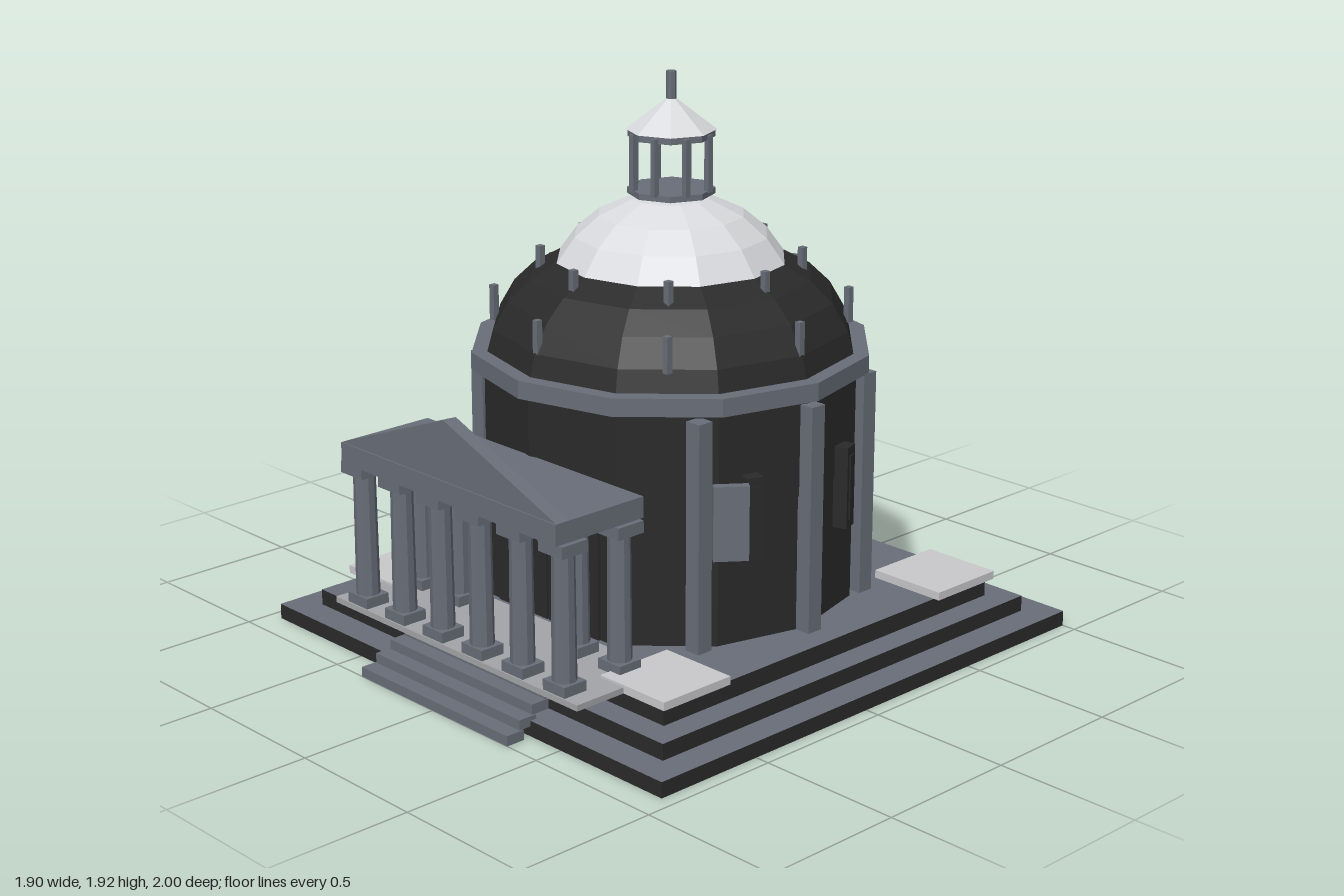
import * as THREE from 'three';

const mat = (name, color, extra = {}) =>
  Object.assign(new THREE.MeshStandardMaterial({ color, flatShading: true, ...extra }), { name });

export function createModel() {
  const root = new THREE.Group();
  root.name = 'domedRotunda';
  const stone = mat('slateStone', 0x686e78);
  const black = mat('charcoal', 0x2a2a2a, { side: THREE.DoubleSide });
  const light = mat('paleMetal', 0xd8dadd);
  const pale = mat('paleSlab', 0xc9c9cb);
  const floor = mat('porticoFloorStone', 0xa3a5a8);
  const CZ = -0.05; // rotunda axis

  const add = (name, geo, m, x = 0, y = 0, z = 0, ry = 0, parent = root) => {
    const mesh = new THREE.Mesh(geo, m);
    mesh.name = name;
    mesh.position.set(x, y, z);
    mesh.rotation.y = ry;
    parent.add(mesh);
    return mesh;
  };
  // box given by width, depth and its bottom and top heights
  const box = (name, m, w, d, y0, y1, x, z, ry = 0, parent = root) =>
    add(name, new THREE.BoxGeometry(w, y1 - y0, d), m, x, (y0 + y1) / 2, z, ry, parent);
  const cyl = (name, m, r, y0, y1, sides, x = 0, z = CZ, rTop = r) =>
    add(name, new THREE.CylinderGeometry(rTop, r, y1 - y0, sides), m, x, (y0 + y1) / 2, z);

  // stepped base with dark sides and stone tops
  [[0.95, 0, 0.053], [0.848, 0.053, 0.108], [0.758, 0.108, 0.17]].forEach(([h, y0, y1]) =>
    box('baseTier', [black, black, stone, black, black, black], h * 2, h * 2, y0, y1, 0, CZ));

  // corner slabs
  for (const sx of [-1, 1]) for (const sz of [-1, 1])
    box('cornerSlab', pale, 0.285, 0.285, 0.17, 0.198, sx * 0.637, CZ + sz * 0.635);

  // drum: lower wall open at the front, full ring above
  const step = Math.PI / 6;
  add('lowerWall', new THREE.CylinderGeometry(0.625, 0.625, 0.46, 10, 1, true, step, step * 10),
    black, 0, 0.40, CZ);
  cyl('upperWall', black, 0.63, 0.63, 0.96, 12);
  box('entranceWall', black, 0.62, 0.02, 0.17, 0.63, 0, 0.49);
  for (const sx of [-1, 1]) box('door', black, 0.24, 0.01, 0.17, 0.62, sx * 0.125, 0.503);
  cyl('cornice', stone, 0.672, 0.957, 1.017, 12);

  // ten-way pilasters, leaving out the two at the entrance
  for (let i = 0; i < 10; i++) {
    if (i === 2 || i === 3) continue;
    const a = (i * Math.PI) / 5;
    box('pilaster', stone, 0.058, 0.058, 0.17, 0.94, 0.645 * Math.cos(a), CZ + 0.645 * Math.sin(a));
  }

  // narrow windows around the wall
  for (const deg of [20, 160, -20, 200, -64, -116]) {
    const a = THREE.MathUtils.degToRad(deg);
    const win = new THREE.Group();
    win.name = 'window';
    win.position.set(0.63 * Math.cos(a), 0, CZ + 0.63 * Math.sin(a));
    win.rotation.y = -a;
    root.add(win);
    box('windowFrame', black, 0.05, 0.06, 0.46, 0.74, 0, 0, 0, win);
    box('windowPane', black, 0.06, 0.03, 0.49, 0.71, 0, 0, 0, win);
  }
  // flat panels beside the front windows
  for (const sx of [-1, 1])
    box('wallPanel', stone, 0.03, 0.115, 0.48, 0.73, sx * 0.592, CZ + 0.308, sx * -0.66);

  // dome: dark lower shell and pale crown
  const lathe = (name, m, pts) =>
    add(name, new THREE.LatheGeometry(pts.map(p => new THREE.Vector2(...p)), 12), m, 0, 0, CZ);
  lathe('domeShell', black, [[0.62, 1.015], [0.6, 1.09], [0.548, 1.18], [0.475, 1.25], [0.385, 1.3]]);
  lathe('domeCrown', light, [[0.385, 1.3], [0.325, 1.383], [0.245, 1.45], [0.13, 1.502], [0, 1.516]]);

  // two rings of small posts on the dome
  for (const [r, y0, y1] of [[0.587, 1.08, 1.2], [0.432, 1.25, 1.335]])
    for (let i = 0; i < 8; i++) {
      const a = (i * Math.PI) / 4;
      box('domePost', stone, 0.022, 0.022, y0, y1, r * Math.cos(a), CZ + r * Math.sin(a));
    }

  // lantern
  cyl('lanternBase', stone, 0.145, 1.515, 1.535, 8);
  for (let i = 0; i < 8; i++) {
    const a = ((i + 0.5) * Math.PI) / 4;
    box('lanternPost', stone, 0.02, 0.02, 1.53, 1.72, 0.132 * Math.cos(a), CZ + 0.132 * Math.sin(a));
  }
  cyl('lanternRing', stone, 0.143, 1.705, 1.728, 8);
  cyl('lanternRoof', light, 0.15, 1.728, 1.84, 8, 0, CZ, 0.003);
  cyl('finial', stone, 0.017, 1.825, 1.92, 8);

  // portico floor
  box('porticoFloor', floor, 1.2, 0.37, 0.17, 0.19, 0, 0.735);

  // portico columns: full front row, partial row behind
  const column = (x, z) => {
    box('columnBase', stone, 0.1, 0.09, 0.19, 0.225, x, z);
    cyl('columnShaft', stone, 0.04, 0.225, 0.65, 10, x, z, 0.037);
    box('columnCapital', stone, 0.11, 0.105, 0.645, 0.685, x, z);
  };
  for (let i = 0; i < 6; i++) {
    const x = -0.488 + i * 0.1952;
    column(x, 0.87);
    if (i < 2 || i > 3) column(x, 0.64);
  }

  // entablature and gable
  box('entablature', stone, 1.05, 0.36, 0.685, 0.755, 0, 0.752);
  const gable = new THREE.Shape([[-0.525, 0], [0.525, 0], [0, 0.2]].map(p => new THREE.Vector2(...p)));
  add('pediment', new THREE.ExtrudeGeometry(gable, { depth: 0.05, bevelEnabled: false }),
    stone, 0, 0.755, 0.877);

  // entrance stairs, narrowing slightly upwards
  for (let i = 0; i < 5; i++)
    box('stair', stone, 0.73 - i * 0.01, 0.068, i * 0.034, (i + 1) * 0.034, 0, 0.966 - i * 0.056);

  return root;
}
